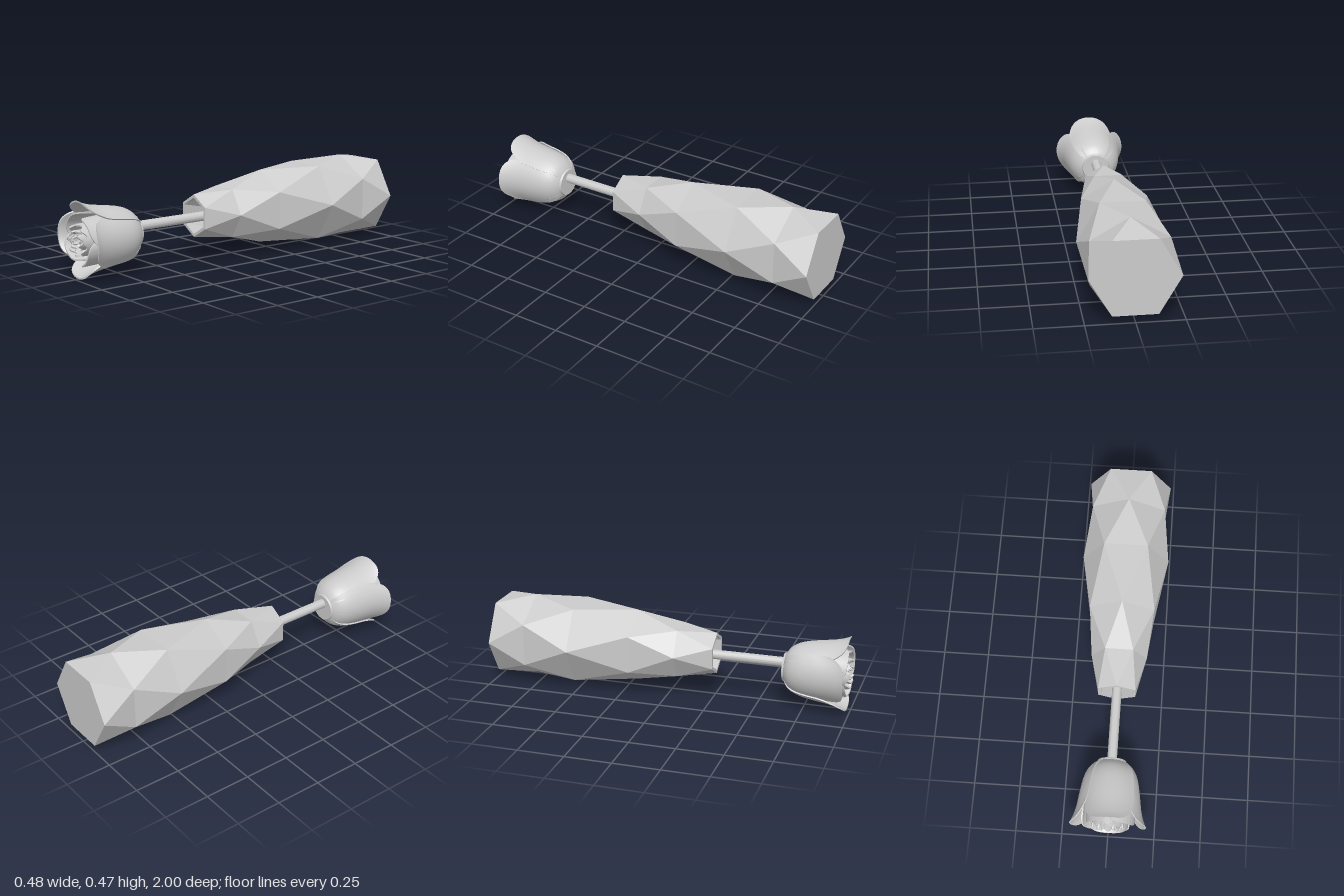
import * as THREE from 'three';
import { toCreasedNormals } from 'three/addons/utils/BufferGeometryUtils.js';

const GREY = { color: 0xcccccc };
const ROSE_Y = 0.204, VASE_Y = 0.24, STEM_Y = 0.231;

function makeGeometry(positions, index) {
  const g = new THREE.BufferGeometry();
  g.setAttribute('position', new THREE.Float32BufferAttribute(positions, 3));
  g.setIndex(index);
  return g;
}

// Faceted vase: hexagon rings [z, radius, half-step turn], outside then inside
function createVase() {
  const outer = [
    [-1, 0.23, 0], [-0.8, 0.235, 1], [-0.535, 0.24, 0],
    [-0.2, 0.205, 1], [0.05, 0.152, 0], [0.255, 0.117, 1],
  ];
  const inner = outer.map(([z, r, o], i) => [i === 0 ? -0.97 : z, r - 0.018, o]).reverse();
  const rings = [[-1, 0, 0], ...outer, ...inner, [-0.97, 0, 0]];
  const pos = [], idx = [];
  for (const [z, r, o] of rings) {
    for (let k = 0; k < 6; k++) {
      const a = (k + o / 2) * Math.PI / 3;
      pos.push(r * Math.cos(a), VASE_Y + r * Math.sin(a), z);
    }
  }
  for (let i = 0; i < rings.length - 1; i++) {
    for (let k = 0; k < 6; k++) {
      const n = (k + 1) % 6;
      const a = i * 6 + k, a1 = i * 6 + n, b = a + 6, b1 = a1 + 6;
      if (rings[i][2] < rings[i + 1][2]) idx.push(a, a1, b, a1, b1, b);
      else idx.push(a, b1, b, a, a1, b1);
    }
  }
  const mesh = new THREE.Mesh(makeGeometry(pos, idx).toNonIndexed(),
    new THREE.MeshStandardMaterial({ ...GREY, flatShading: true }));
  mesh.geometry.computeVertexNormals();
  mesh.name = 'vase';
  return mesh;
}

// Thick curved petal: u runs across (-1..1), v runs from base to rim.
// profile holds [radius, v] points; rim(u) gives the z of the edge.
function createPetal({ name, angle = 0, half, profile, rim, base = 0.64,
  spiral = 0, flare = 0, taper = 0, thick = 0.008, nu = 28, nv = 18 }) {
  const curve = new THREE.SplineCurve(profile.map(([r, v]) => new THREE.Vector2(r, v)));
  const pos = [], idx = [], loop = 2 * (nu + 1);
  for (let i = 0; i <= nv; i++) {
    const v = i / nv, p = curve.getPoint(v);
    const width = half * (1 - taper * Math.pow(v, 5));
    for (let j = 0; j < loop; j++) {
      const inside = j > nu;
      const u = -1 + 2 * (inside ? loop - 1 - j : j) / nu;
      const r = p.x + spiral * u * v + flare * Math.pow(v, 5) * (1 - u * u) - (inside ? thick : 0);
      const a = angle + u * width;
      pos.push(r * Math.cos(a), ROSE_Y + r * Math.sin(a), base + (rim(u) - base) * p.y);
    }
  }
  const quad = (a, b, c, d) => idx.push(a, b, c, a, c, d);
  for (let i = 0; i < nv; i++) {
    for (let j = 0; j < loop; j++) {
      const a = i * loop + j, b = i * loop + (j + 1) % loop;
      quad(a, b, b + loop, a + loop);
    }
  }
  const top = nv * loop;
  for (let j = 0; j < nu; j++) {
    const m = loop - 1 - j;
    quad(top + j, top + j + 1, top + m - 1, top + m);
    quad(j, m, m - 1, j + 1);
  }
  const mesh = new THREE.Mesh(toCreasedNormals(makeGeometry(pos, idx), 0.8),
    new THREE.MeshStandardMaterial(GREY));
  mesh.name = name;
  return mesh;
}

// Turned part along z, from [radius, z] points
function createTurned(name, points, y) {
  const g = new THREE.LatheGeometry(points.map(([r, z]) => new THREE.Vector2(r, z)), 32);
  g.rotateX(Math.PI / 2);
  g.translate(0, y, 0);
  const mesh = new THREE.Mesh(toCreasedNormals(g, 0.7),
    new THREE.MeshStandardMaterial({ ...GREY, side: THREE.DoubleSide }));
  mesh.name = name;
  return mesh;
}

function createRose() {
  const rose = new THREE.Group();
  rose.name = 'rose';

  // Four broad outer petals with flared tips
  for (let k = 0; k < 4; k++) {
    rose.add(createPetal({
      name: 'outerPetal', angle: k * Math.PI / 2 + 0.03, half: 0.92, taper: 0.12,
      profile: [[0.078, 0], [0.116, 0.09], [0.143, 0.25], [0.158, 0.5], [0.166, 0.78], [0.175, 1]],
      rim: u => 0.98 - 0.08 * u ** 4, spiral: -0.008, flare: 0.028,
    }));
  }
  // Four middle petals wound like a pinwheel
  for (let k = 0; k < 4; k++) {
    rose.add(createPetal({
      name: 'middlePetal', angle: k * Math.PI / 2 + 0.75, half: 0.95, taper: 0.1,
      profile: [[0.066, 0], [0.098, 0.12], [0.118, 0.35], [0.127, 0.7], [0.126, 1]],
      rim: u => 0.985 - 0.05 * u ** 4, spiral: -0.017, flare: 0.006,
    }));
  }
  // Nested inner cups with scalloped rims
  [[0.084, 8, 0.985], [0.053, 7, 0.99], [0.032, 6, 0.985]].forEach(([r, lobes, z], k) => {
    rose.add(createPetal({
      name: 'innerPetals', angle: k * 0.4, half: Math.PI, nu: 64,
      profile: [[r * 0.7, 0], [r * 0.95, 0.3], [r * 1.02, 0.65], [r, 1]],
      rim: u => z + 0.012 * Math.cos(u * Math.PI * lobes),
    }));
  });
  // Core bud and base
  rose.add(createTurned('core', [[0, 0.64], [0.018, 0.64], [0.023, 0.75], [0.021, 0.85],
    [0.012, 0.89], [0, 0.9]], ROSE_Y));
  rose.add(createTurned('base', [[0, 0.63], [0.076, 0.63], [0.08, 0.638], [0.08, 0.65],
    [0, 0.65]], ROSE_Y));
  return rose;
}

export function createModel() {
  const model = new THREE.Group();
  model.name = 'roseInVase';
  model.add(createVase(), createRose());
  model.add(createTurned('stem', [[0, -0.9], [0.026, -0.9], [0.026, 0.635], [0, 0.635]], STEM_Y));
  return model;
}
